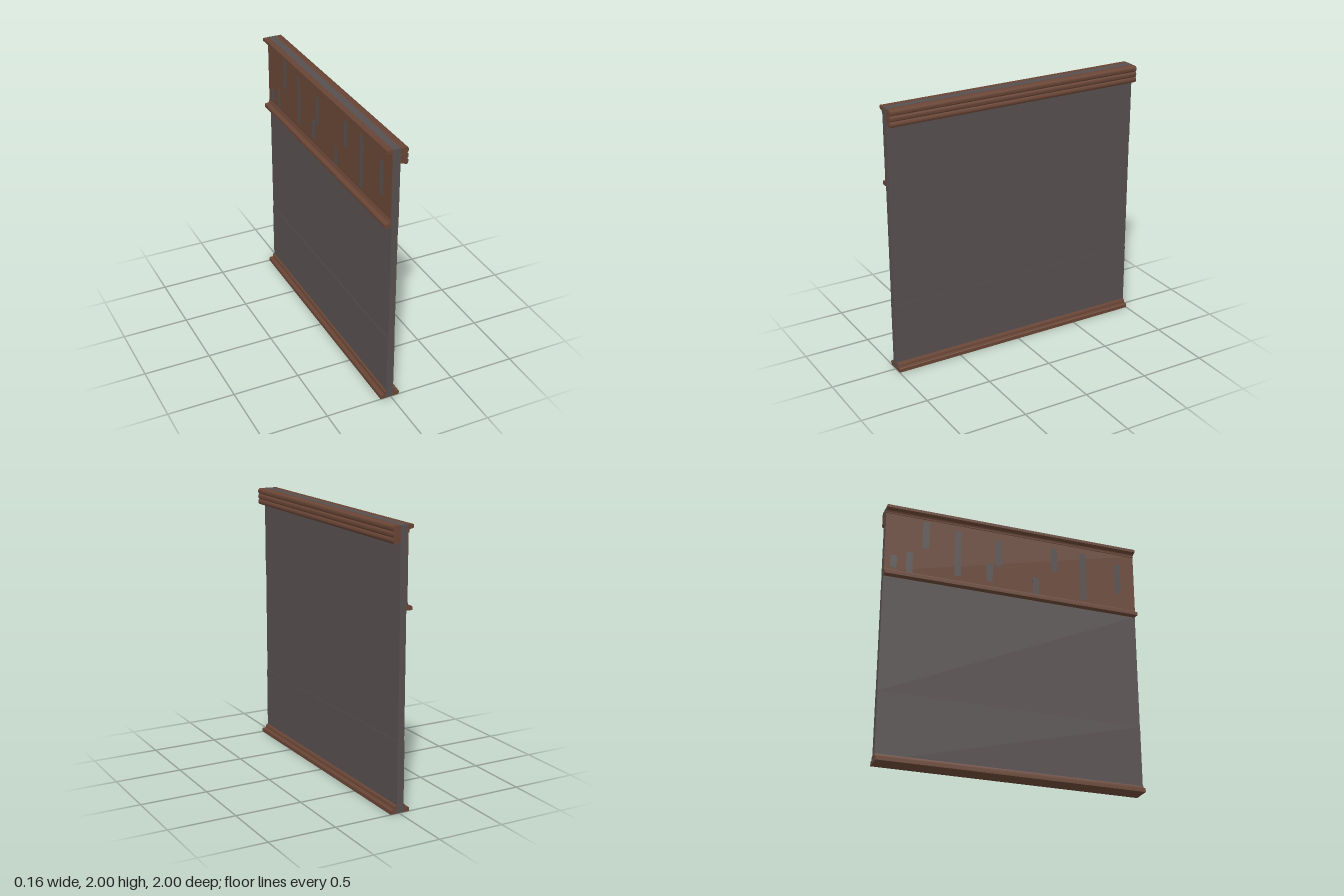
import * as THREE from 'three';
import { toCreasedNormals } from 'three/addons/utils/BufferGeometryUtils.js';

export function createModel() {
  const group = new THREE.Group();
  const plaster = new THREE.MeshStandardMaterial({ color: 0x574f4f });
  plaster.name = 'grey plaster';
  const wood = new THREE.MeshStandardMaterial({ color: 0x694535 });
  wood.name = 'brown wood';

  // Sweep an x/y profile along the full length of the wall
  function sweep(name, shape, material) {
    const geo = new THREE.ExtrudeGeometry(shape, { depth: 2, bevelEnabled: false, curveSegments: 8 });
    geo.translate(0, 0, -1);
    const mesh = new THREE.Mesh(toCreasedNormals(geo, 0.6), material);
    mesh.name = name;
    group.add(mesh);
  }
  const poly = (pts) => new THREE.Shape(pts.map(([x, y]) => new THREE.Vector2(x, y)));

  function plate(name, x, y0, y1, z0, z1, thickness, material) {
    const mesh = new THREE.Mesh(new THREE.BoxGeometry(thickness, y1 - y0, z1 - z0), material);
    mesh.position.set(x, (y0 + y1) / 2, (z0 + z1) / 2);
    mesh.name = name;
    group.add(mesh);
  }

  // Wall core, with shallow ledges on both faces
  sweep('wall', poly([
    [-0.036, 0.004], [0.018, 0.004], [0.018, 0.52], [0.015, 0.52], [0.015, 1.42], [0.018, 1.42],
    [0.018, 2], [-0.037, 2], [-0.037, 1.43], [-0.033, 1.43], [-0.033, 0.52], [-0.036, 0.52],
  ]), plaster);

  // Stepped skirting on both sides
  sweep('skirting', poly([
    [-0.08, 0], [0.066, 0], [0.066, 0.027], [0.061, 0.032], [0.036, 0.032], [0.036, 0.045],
    [0.03, 0.056], [0.017, 0.06], [-0.035, 0.06], [-0.046, 0.056], [-0.05, 0.045], [-0.05, 0.032],
    [-0.075, 0.032], [-0.08, 0.027],
  ]), wood);

  // Cornice with three rounded beads
  const cornice = new THREE.Shape();
  cornice.moveTo(0.015, 1.999);
  cornice.lineTo(0.015, 1.888);
  cornice.lineTo(0.042, 1.885);
  cornice.quadraticCurveTo(0.05, 1.876, 0.062, 1.876);
  for (let i = 0; i < 3; i++) {
    const y = 1.876 + i * 0.041;
    cornice.bezierCurveTo(0.079, y + 0.004, 0.079, y + 0.037, 0.065, y + 0.041);
  }
  sweep('cornice', cornice, wood);

  // Ledge moulding under the top edge
  sweep('topRail', poly([
    [-0.035, 1.999], [-0.08, 1.999], [-0.08, 1.977], [-0.075, 1.972], [-0.052, 1.968],
    [-0.047, 1.96], [-0.047, 1.946], [-0.035, 1.946],
  ]), wood);

  // Ledge moulding below the panelling
  sweep('middleRail', poly([
    [-0.033, 1.425], [-0.033, 1.48], [-0.045, 1.478], [-0.047, 1.462], [-0.052, 1.456],
    [-0.075, 1.454], [-0.08, 1.448], [-0.08, 1.425],
  ]), wood);

  // Wood panelling between the rails
  plate('panelling', -0.038, 1.46, 1.96, -1, 1, 0.006, wood);

  // Narrow worn slots showing plaster: z, bottom, top
  const slots = [
    [-0.93, 1.5, 1.6], [-0.81, 1.48, 1.65], [-0.69, 1.7, 1.93], [-0.44, 1.52, 1.9],
    [-0.19, 1.52, 1.67], [-0.12, 1.66, 1.88], [0.18, 1.48, 1.62], [0.33, 1.7, 1.9],
    [0.57, 1.5, 1.9], [0.86, 1.6, 1.86],
  ];
  for (const [z, y0, y1] of slots) {
    plate('wornSlot', -0.0405, y0, y1, z - 0.025, z + 0.025, 0.002, plaster);
  }
  return group;
}
